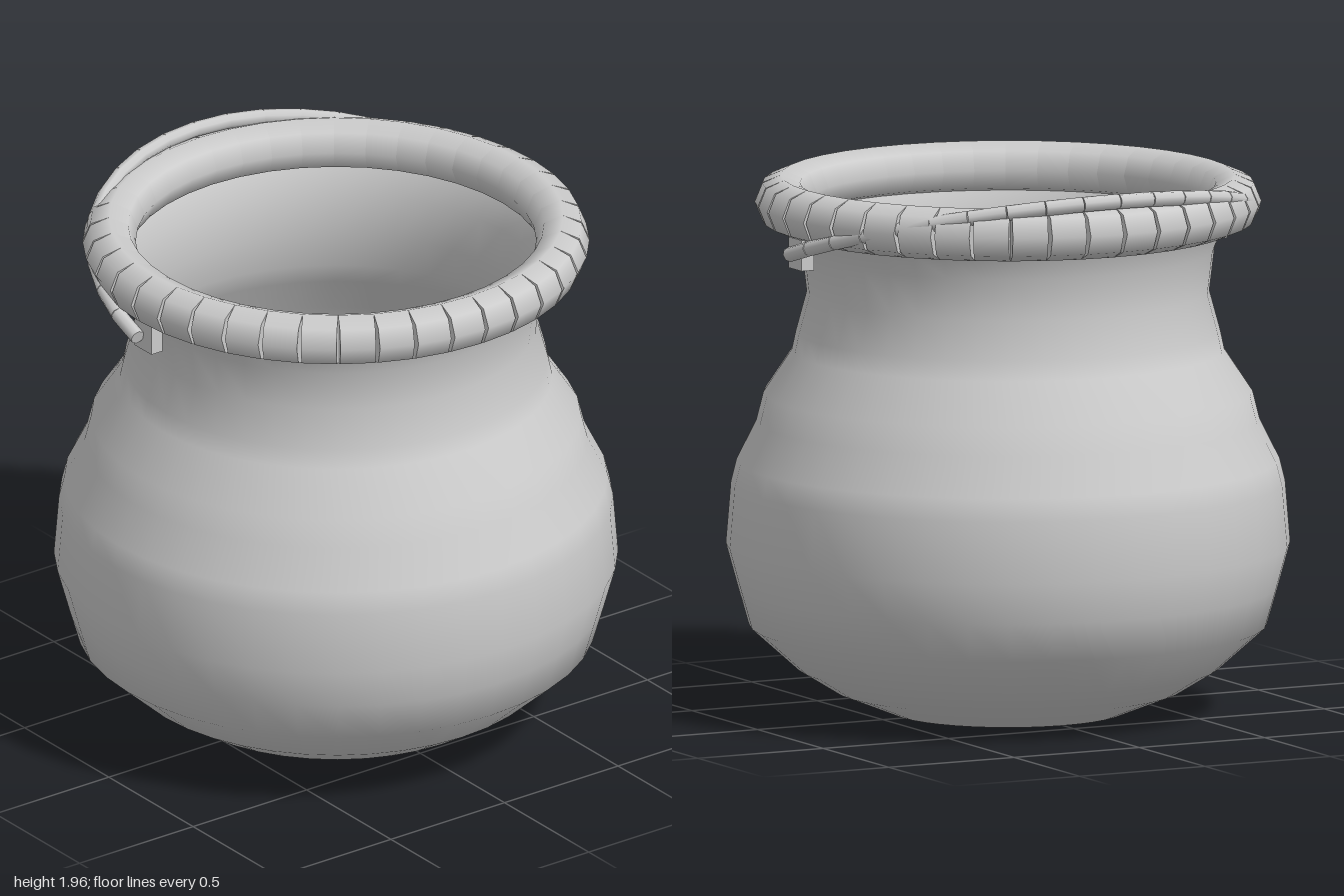
import * as THREE from 'three';

const iron = new THREE.MeshStandardMaterial({ color: 0xcccccc, side: THREE.DoubleSide });
iron.name = 'grey iron';

function mesh(name, geometry) {
  const m = new THREE.Mesh(geometry, iron);
  m.name = name;
  return m;
}

// Short straight cylinders laid along an arc in the xz plane, opening slits on the outside
function segmentedRing(name, radius, tube, count, start, step, lengthFactor) {
  const ring = new THREE.Group();
  ring.name = name;
  const geometry = new THREE.CylinderGeometry(tube, tube, 2 * radius * Math.tan(step / 2) * lengthFactor, 8);
  geometry.rotateX(Math.PI / 2);
  for (let i = 0; i < count; i++) {
    const a = start + (i + 0.5) * step;
    const piece = mesh(name + 'Segment', geometry);
    piece.position.set(radius * Math.cos(a), 0, -radius * Math.sin(a));
    piece.rotation.y = a;
    ring.add(piece);
  }
  return ring;
}

export function createModel() {
  const model = new THREE.Group();
  model.name = 'cauldron';

  // Thin-walled round body
  const profile = [
    [0.42, 0], [0.62, 0.08], [0.75, 0.16], [0.917, 0.31], [0.957, 0.45], [0.998, 0.6],
    [0.98, 0.82], [0.96, 0.9], [0.89, 1.04], [0.865, 1.14], [0.765, 1.29], [0.75, 1.36],
    [0.712, 1.5], [0.73, 1.65], [0.757, 1.73], [0.79, 1.8],
  ].map(([r, y]) => new THREE.Vector2(r, y));
  model.add(mesh('body', new THREE.LatheGeometry(profile, 40)));

  // Flat base
  const base = mesh('base', new THREE.CircleGeometry(0.42, 40));
  base.rotation.x = Math.PI / 2;
  model.add(base);

  // Thick rim
  const step = Math.PI / 20;
  const rim = segmentedRing('rim', 0.8, 0.094, 40, 0, step, 1);
  rim.position.y = 1.82;
  model.add(rim);

  // Carrying handle folded down against the back of the rim
  const handle = segmentedRing('handle', 0.87, 0.027, 20, 0, step, 1);
  handle.position.y = 1.69;
  handle.rotation.x = 0.28;
  model.add(handle);

  // Lugs holding the handle
  for (const side of [-1, 1]) {
    const lug = mesh(side > 0 ? 'leftLug' : 'rightLug', new THREE.BoxGeometry(0.05, 0.11, 0.1));
    lug.position.set(side * 0.825, 1.69, 0);
    model.add(lug);
  }
  return model;
}
